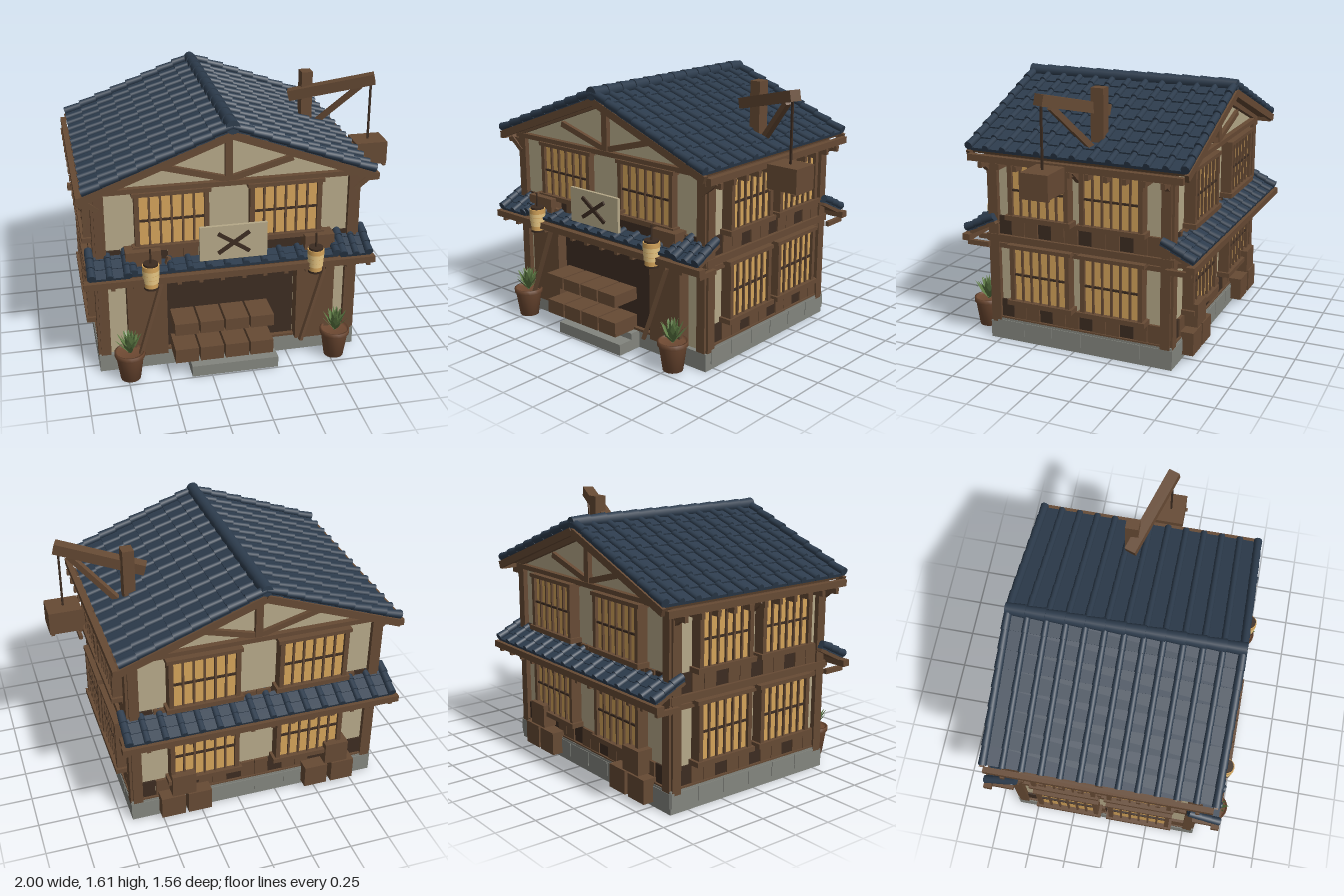
import * as THREE from 'three';
import { mergeGeometries } from 'three/addons/utils/BufferGeometryUtils.js';

const mat = (name, color, side = THREE.FrontSide) => Object.assign(new THREE.MeshStandardMaterial({ color, side }), { name });

export function createModel() {
  const wood = mat('wood', 0x664a34), dark = mat('dark wood', 0x3c2c21), plaster = mat('plaster', 0xb5a888);
  const amber = mat('amber paper', 0xd3a35a), tile = mat('roof tile', 0x2d3c4d), stone = mat('stone', 0x83857e);
  const clay = mat('clay', 0x6e4932), leaf = mat('leaf', 0x5f7c45, THREE.DoubleSide), paper = mat('lantern paper', 0xe6c582);
  const model = new THREE.Group();
  const CX = -0.11, CZ = -0.03;

  const add = (parent, name, geo, m, x = 0, y = 0, z = 0) => {
    const mesh = new THREE.Mesh(geo, m);
    mesh.name = name;
    mesh.position.set(x, y, z);
    parent.add(mesh);
    return mesh;
  };
  // Box given by its extents
  const box = (p, name, m, x0, x1, y0, y1, z0, z1) =>
    add(p, name, new THREE.BoxGeometry(x1 - x0, y1 - y0, z1 - z0), m, (x0 + x1) / 2, (y0 + y1) / 2, (z0 + z1) / 2);
  // Square beam between two points of its parent's frame
  const beam = (p, name, m, a, b, w, d = w) => {
    const A = new THREE.Vector3(...a), B = new THREE.Vector3(...b);
    const mesh = new THREE.Mesh(new THREE.BoxGeometry(w, d, A.distanceTo(B)), m);
    mesh.name = name;
    mesh.position.copy(A).add(B).multiplyScalar(0.5);
    mesh.lookAt(B);
    p.add(mesh);
  };
  const group = (name, x = 0, y = 0, z = 0, ry = 0, rz = 0) => {
    const g = new THREE.Group();
    g.name = name;
    g.position.set(x, y, z);
    g.rotation.set(0, ry, rz);
    model.add(g);
    return g;
  };

  // Stone base, edge stones and steps
  const base = group('base');
  box(base, 'foundation', stone, -0.906, 0.686, 0, 0.11, -0.628, 0.57);
  box(base, 'upperCourse', stone, -0.906, 0.686, 0.11, 0.138, -0.628, 0.535);
  for (const s of [-1, 1]) for (let i = 0; i < 6; i++) {
    const z = -0.62 + i * 0.192, x = CX + s * 0.79;
    box(base, 'edgeStone', stone, x - 0.01, x + 0.01, 0.035, 0.125, z, z + 0.182);
  }
  for (let i = 0; i < 8; i++) box(base, 'backStone', stone, -0.9 + i * 0.2, -0.71 + i * 0.2, 0.035, 0.125, -0.632, -0.61);
  box(base, 'lowerStep', stone, -0.37, 0.16, 0, 0.07, 0.55, 0.74);
  box(base, 'upperStep', stone, -0.37, 0.16, 0.07, 0.11, 0.55, 0.64);

  // Plaster body with gable prism
  const body = group('walls', CX, 0, CZ);
  box(body, 'plasterWalls', plaster, -0.77, 0.77, 0.11, 1.19, -0.57, 0.57);
  const tri = new THREE.Shape([[-0.8, 1.18], [0.8, 1.18], [0.8, 1.2], [0, 1.5], [-0.8, 1.2]].map(p => new THREE.Vector2(...p)));
  add(body, 'gableWalls', new THREE.ExtrudeGeometry(tri, { depth: 1.14, bevelEnabled: false }), plaster, 0, 0, -0.57);

  // Lattice window: outer frame, amber pane, slats
  const latticeWindow = (p, u, w, y0, y1, d, out) => {
    const l = u - w / 2, r = u + w / 2, f = d + out;
    box(p, 'windowPane', amber, l, r, y0, y1, d - 0.01, f - 0.02);
    for (const x of [l - 0.008, r + 0.008]) box(p, 'windowJamb', wood, x - 0.014, x + 0.014, y0, y1, d - 0.01, f);
    box(p, 'windowSill', wood, l - 0.04, r + 0.04, y0 - 0.025, y0 + 0.005, d - 0.01, f + 0.012);
    box(p, 'windowHead', wood, l - 0.035, r + 0.035, y1 - 0.005, y1 + 0.018, d - 0.01, f + 0.005);
    for (let i = 1; i < 6; i++) {
      const x = l + w * i / 6;
      box(p, 'windowSlat', wood, x - 0.006, x + 0.006, y0, y1, f - 0.02, f - 0.006);
    }
    box(p, 'windowRail', dark, l, r, (y0 + y1) / 2 - 0.006, (y0 + y1) / 2 + 0.006, f - 0.02, f - 0.008);
  };
  // Alternating wooden wainscot
  const wainscot = (p, half, y0, y1, d) => {
    const n = Math.round(half * 2 / 0.09), w = half * 2 / n;
    for (let i = 0; i < n; i++)
      box(p, 'wainscotBoard', i % 3 ? wood : dark, -half + i * w + 0.002, -half + (i + 1) * w - 0.002, y0, y1, d - 0.01, d + (i % 3 ? 0.018 : 0.012));
  };
  const facade = (name, ry, half, d, off, w, out, lower) => {
    const g = group(name, CX, 0, CZ, ry);
    for (const s of [-1, 1]) {
      box(g, 'cornerPost', wood, s * (half - 0.015) - 0.03, s * (half - 0.015) + 0.03, 0.11, 1.18, d - 0.02, d + 0.03);
      latticeWindow(g, s * off, w, 0.825, 1.145, d, out);
      if (lower) latticeWindow(g, s * off, w, 0.285, 0.625, d, out);
    }
    wainscot(g, half - 0.04, 0.685, 0.8, d);
    for (const [a, b, o] of [[0.6, 0.63, 0.025], [0.64, 0.685, 0.035], [1.16, 1.19, 0.035]])
      box(g, 'wallBeam', wood, -half - 0.03, half + 0.03, a, b, d - 0.01, d + o);
    if (lower) {
      wainscot(g, half - 0.04, 0.14, 0.26, d);
      box(g, 'sillBeam', wood, -half, half, 0.128, 0.148, d - 0.01, d + 0.025);
    }
    return g;
  };
  const front = facade('frontFacade', 0, 0.77, 0.57, 0.338, 0.39, 0.045, false);
  const back = facade('backFacade', Math.PI, 0.77, 0.57, 0.338, 0.39, 0.07, true);
  facade('leftFacade', Math.PI / 2, 0.57, 0.77, 0.233, 0.35, 0.07, true);
  facade('rightFacade', -Math.PI / 2, 0.57, 0.77, 0.233, 0.35, 0.07, true);
  box(front, 'darkBoards', dark, 0.18, 0.44, 0.69, 0.8, 0.57, 0.592);

  // Gable timbers and rake boards
  for (const g of [front, back]) {
    const edge = g === front ? 0.68 : 0.69;
    box(g, 'kingPost', wood, -0.022, 0.022, 1.19, 1.5, 0.56, 0.6);
    for (const s of [-1, 1]) {
      beam(g, 'gableBrace', wood, [s * 0.02, 1.2, 0.58], [s * 0.38, 1.3, 0.58], 0.03, 0.035);
      beam(g, 'gableChord', wood, [s * 0.8, 1.185, 0.585], [0, 1.485, 0.585], 0.035, 0.04);
      beam(g, 'rakeBoard', wood, [s * 0.85, 1.18, edge], [0, 1.5, edge], 0.025, 0.045);
    }
  }

  // Tiled slope: local x runs down the slope, z along the eave
  const tiledSlope = (name, len, slope, courses, ribs, x, y, z, ry, angle) => {
    const g = group(name, x, y, z, ry, -angle), step = slope / courses, parts = [];
    for (let c = 0; c < courses; c++) {
      const place = (geo, h, v) => parts.push(geo.rotateZ(0.08).translate((c + 0.5) * step, h, v));
      place(new THREE.BoxGeometry(step + 0.008, 0.018, len - 0.03), 0, 0);
      for (let i = 0; i < ribs; i++) {
        const edge = i % (ribs - 1) === 0, r = edge ? 0.026 : 0.021;
        const v = -len / 2 + 0.026 + (len - 0.052) * i / (ribs - 1);
        place(new THREE.CylinderGeometry(r * 0.87, r, step + 0.01, 10).rotateZ(Math.PI / 2), edge ? 0.02 : 0.012, v);
      }
    }
    add(g, 'tiles', mergeGeometries(parts), tile);
    box(g, 'roofDeck', wood, 0, slope - 0.01, -0.03, -0.009, -len / 2 + 0.015, len / 2 - 0.015);
  };
  const pitch = Math.atan(0.335 / 0.86);
  tiledSlope('mainRoofLeft', 1.41, 0.9, 8, 13, CX, 1.535, CZ, 0, pitch);
  tiledSlope('mainRoofRight', 1.41, 0.9, 8, 13, CX, 1.535, CZ, Math.PI, pitch);
  const ridge = group('ridge', CX, 1.55, CZ);
  for (let i = 0; i < 12; i++)
    add(ridge, 'ridgeTile', new THREE.CylinderGeometry(0.041, 0.034, 0.122, 14).rotateX(Math.PI / 2), tile, 0, 0, -0.638 + i * 0.116);

  // Eave beams, rafters and struts along both sides
  for (const s of [-1, 1]) {
    const eave = group('eave', CX, 0, CZ);
    const span = (name, a, b, y0, y1, z0, z1) => box(eave, name, wood, Math.min(s * a, s * b), Math.max(s * a, s * b), y0, y1, z0, z1);
    span('eaveBeam', 0.85, 0.883, 1.15, 1.19, -0.68, 0.67);
    for (let i = 0; i < 11; i++) span('rafter', 0.74, 0.89, 1.115, 1.15, -0.58 + i * 0.115, -0.555 + i * 0.115);
    for (const z of [-0.56, 0, 0.59]) beam(eave, 'eaveStrut', wood, [s * 0.76, 1.07, z], [s * 0.86, 1.15, z], 0.03);
  }

  // Lower canopies
  const tilt = Math.atan(0.5);
  tiledSlope('backCanopy', 1.7, 0.213, 3, 16, CX, 0.785, -0.567, Math.PI / 2, tilt);
  tiledSlope('frontCanopyRight', 0.26, 0.205, 3, 3, -0.83, 0.785, 0.507, -Math.PI / 2, tilt);
  tiledSlope('frontCanopyLeft', 0.21, 0.205, 3, 3, 0.635, 0.785, 0.507, -Math.PI / 2, tilt);
  tiledSlope('frontCanopyMiddle', 1.26, 0.1, 2, 12, -0.09, 0.735, 0.595, -Math.PI / 2, tilt * 0.7);
  const supports = group('canopySupports');
  for (const [z, out] of [[0.685, 0.54], [-0.755, -0.6]]) {
    box(supports, 'canopyBeam', wood, -0.98, 0.755, 0.64, 0.68, z - 0.025, z + 0.025);
    for (let i = 0; i < 14; i++) {
      const x = -0.94 + i * 0.128;
      box(supports, 'canopyRafter', wood, x - 0.012, x + 0.012, 0.61, 0.64, Math.min(out, z), Math.max(out, z));
    }
  }

  // Shop front: dark opening, side panels, leaning poles, goods crates
  const shop = group('shopFront');
  box(shop, 'opening', dark, -0.5, 0.29, 0.11, 0.66, 0.53, 0.552);
  box(shop, 'openingSill', wood, -0.73, 0.53, 0.11, 0.125, 0.53, 0.58);
  for (const x of [-0.73, 0.295]) box(shop, 'sidePanel', wood, x, x + 0.235, 0.11, 0.645, 0.53, 0.62);
  for (const x of [-0.68, 0.31]) beam(shop, 'leaningPole', wood, [x, 0.14, 0.69], [x + 0.2, 0.77, 0.63], 0.022);
  for (let i = 0; i < 4; i++) for (const [y0, y1] of [[0.11, 0.2], [0.3, 0.375]])
    box(shop, 'goodsCrate', wood, -0.47 + i * 0.152, -0.33 + i * 0.152, y0, y1, 0.55, 0.742);

  // Sign board with crossed battens
  const sign = group('signBoard', -0.105, 0.848, 0.662);
  box(sign, 'board', plaster, -0.2, 0.2, -0.107, 0.107, -0.01, 0.01);
  for (const s of [-1, 1]) {
    beam(sign, 'crossBatten', dark, [-0.092, -s * 0.062, 0.016], [0.092, s * 0.062, 0.016], 0.012, 0.022);
    box(sign, 'signBracket', wood, s * 0.15 - 0.01, s * 0.15 + 0.01, -0.01, 0.01, -0.1, -0.01);
  }

  // Hanging lanterns with their wooden brackets
  for (const x of [-0.595, 0.385]) {
    const g = group('lantern', x, 0.695, 0.695);
    box(g, 'lanternBracket', wood, x < 0 ? -0.135 : -0.05, x < 0 ? 0.07 : 0.13, 0.035, 0.125, -0.16, -0.055);
    for (let i = 0; i < 5; i++) {
      const r = [0.041, 0.045, 0.048, 0.05, 0.05][i], y = -0.056 + i * 0.028;
      add(g, 'lanternBody', new THREE.CylinderGeometry(r, r, 0.025, 16), i % 4 ? paper : amber, 0, y);
      if (i < 4) add(g, 'lanternRib', new THREE.CylinderGeometry(r, r, 0.004, 16), amber, 0, y + 0.014);
    }
    for (const y of [-0.075, 0.075]) add(g, 'lanternCap', new THREE.CylinderGeometry(0.043, 0.043, 0.013, 16), dark, 0, y);
    add(g, 'lanternRod', new THREE.CylinderGeometry(0.006, 0.006, 0.09, 6), dark, 0, 0.125);
  }

  // Potted plants with broad pointed leaves
  const potProfile = [[0, 0.01], [0.06, 0.01], [0.083, 0.165], [0.091, 0.165], [0.091, 0.192], [0.08, 0.192], [0.078, 0.175], [0, 0.175]].map(p => new THREE.Vector2(...p));
  const blade = new THREE.ShapeGeometry(new THREE.Shape([[-0.007, 0], [0.007, 0], [0.016, 0.07], [0, 0.15], [-0.016, 0.07]].map(p => new THREE.Vector2(...p))));
  for (const x of [-0.735, 0.53]) {
    const g = group('pottedPlant', x, 0, 0.678);
    add(g, 'pot', new THREE.LatheGeometry(potProfile, 20), clay);
    for (let i = 0; i < 28; i++) {
      const t = i / 28, m = add(g, 'leafBlade', blade, leaf, 0, 0.178 + t * 0.025, 0);
      m.rotation.set(0.75 - 0.65 * t, i * 2.4, 0, 'YXZ');
      m.scale.y = 0.95 - 0.1 * t;
    }
  }

  // Roof crane with hanging crate
  const crane = group('crane');
  box(crane, 'cranePost', wood, 0.49, 0.56, 1.2, 1.6, -0.145, -0.065);
  beam(crane, 'craneBoom', wood, [0.415, 1.45, -0.1], [0.915, 1.582, 0.08], 0.07, 0.065);
  beam(crane, 'craneStrut', wood, [0.55, 1.22, -0.1], [0.84, 1.53, 0.045], 0.035);
  box(crane, 'rope', dark, 0.888, 0.9, 1.17, 1.56, 0.07, 0.082);
  box(crane, 'hangingCrate', wood, 0.793, 0.997, 1.04, 1.185, -0.01, 0.163);
  for (const x of [0.8, 0.97]) box(crane, 'crateRunner', wood, x, x + 0.02, 1.03, 1.04, -0.01, 0.175);

  // Crates stacked against the back
  const crates = group('backCrates');
  for (const [x, y] of [[0.44, 0.03], [0.27, 0.03], [0.37, 0.185], [-0.5, 0.03], [-0.68, 0.03], [-0.63, 0.185]])
    box(crates, 'storageCrate', wood, x - 0.075, x + 0.075, y, y + 0.145, -0.7, -0.58);

  return model;
}
